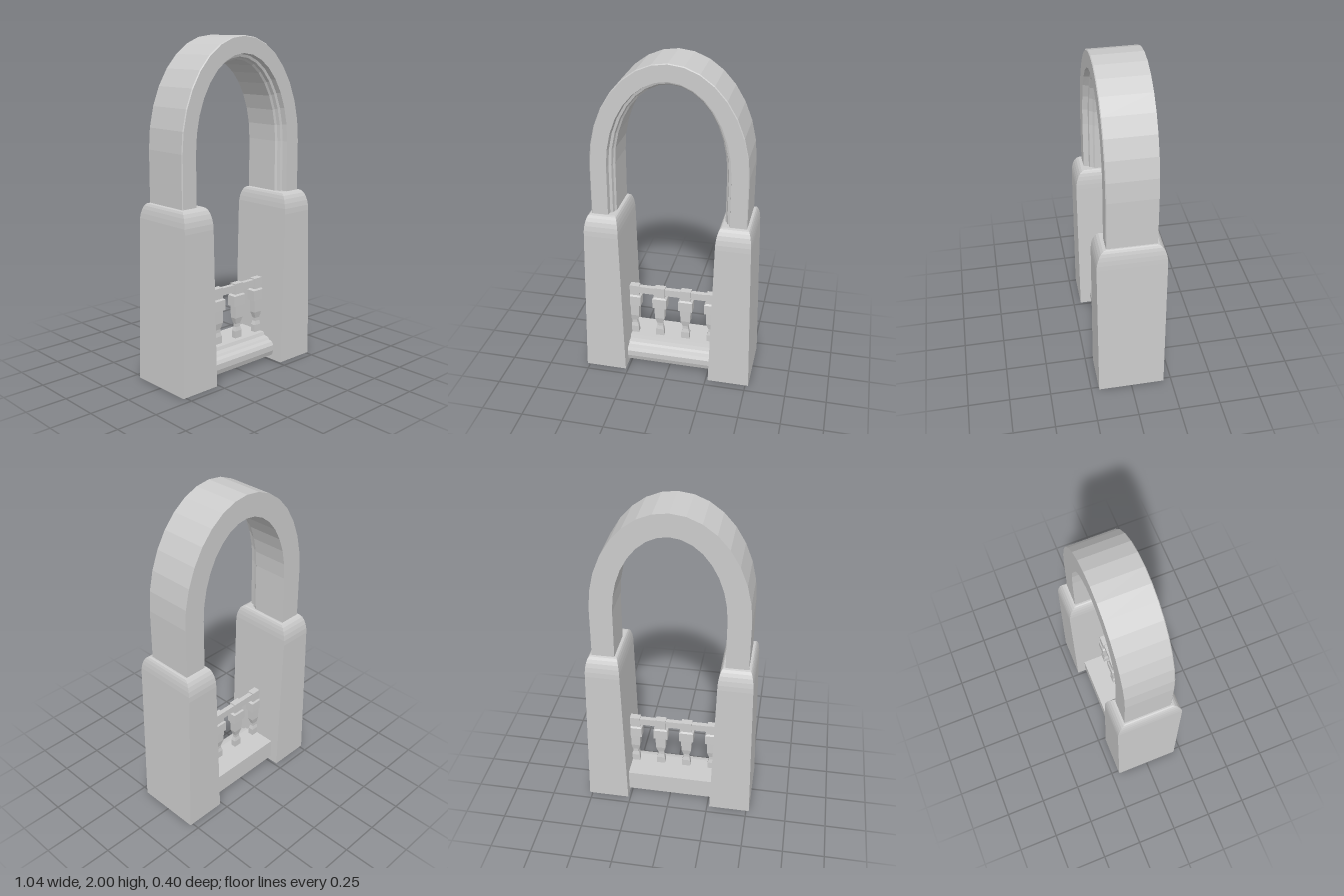
import * as THREE from 'three';

const material = new THREE.MeshStandardMaterial({ color: 0xcccccc, flatShading: true });

// Skin a list of rings; each ring runs counterclockwise about the direction of travel.
function loft(name, rings, capped = true) {
  const pos = [];
  const tri = (a, b, c) => pos.push(...a, ...b, ...c);
  const n = rings[0].length;
  for (let i = 0; i < rings.length - 1; i++) {
    for (let j = 0; j < n; j++) {
      const k = (j + 1) % n;
      const a = rings[i][j], b = rings[i][k], c = rings[i + 1][k], d = rings[i + 1][j];
      tri(a, b, c);
      tri(a, c, d);
    }
  }
  if (capped) {
    const first = rings[0], last = rings[rings.length - 1];
    for (let j = 1; j < n - 1; j++) {
      tri(first[0], first[j + 1], first[j]);
      tri(last[0], last[j], last[j + 1]);
    }
  }
  const geometry = new THREE.BufferGeometry();
  geometry.setAttribute('position', new THREE.Float32BufferAttribute(pos, 3));
  geometry.computeVertexNormals();
  const mesh = new THREE.Mesh(geometry, material);
  mesh.name = name;
  return mesh;
}

// Horizontal rectangle with half sizes hx, hz
const rect = (y, hx, hz) => [[hx, y, hz], [hx, y, -hz], [-hx, y, -hz], [-hx, y, hz]];

// Pillar tapering in width, with a rounded shoulder
function pillar(name, x) {
  const rings = [rect(0, 0.127, 0.202)];
  const steps = 6;
  for (let i = 0; i <= steps; i++) {
    const a = (i / steps) * Math.PI / 2;
    const inset = 1 - Math.cos(a);
    rings.push(rect(0.94 + 0.125 * Math.sin(a), 0.104 - 0.028 * inset, 0.202 - 0.056 * inset));
  }
  const mesh = loft(name, rings);
  mesh.position.x = x;
  return mesh;
}

// Stilted elliptical arch with a stepped moulding on the inner front edge
function arch() {
  // [inset from the outer edge, z]
  const section = [
    [0, 0.137], [0, -0.148], [0.135, -0.148], [0.135, 0.075], [0.125, 0.085],
    [0.12, 0.105], [0.105, 0.11], [0.1, 0.142], [0.005, 0.142],
  ];
  const ring = (angle, y) => section.map(([t, z]) =>
    [(0.46 - t) * Math.cos(angle), y + (0.63 - t) * Math.sin(angle), z]);
  const rings = [ring(0, 1.03)];
  for (let i = 0; i <= 16; i++) rings.push(ring((i / 16) * Math.PI, 1.37));
  rings.push(ring(Math.PI, 1.03));
  return loft('arch', rings, false);
}

// Moulded sill between the pillars
function sill() {
  // [z, y]
  const section = [
    [-0.147, 0.16], [0.05, 0.16], [0.058, 0.14], [0.09, 0.135], [0.1, 0.122],
    [0.125, 0.115], [0.137, 0.095], [0.137, 0.06], [0.128, 0.03], [-0.147, 0.03],
  ];
  return loft('sill', [-0.28, 0.28].map((x) => section.map(([z, y]) => [x, y, z])), false);
}

// Square-cut baluster, narrower in depth than in width
function baluster(x) {
  // [half width, y]
  const profile = [
    [0.026, 0.155], [0.026, 0.205], [0.018, 0.23], [0.018, 0.25], [0.031, 0.29],
    [0.033, 0.37], [0.045, 0.37], [0.045, 0.435], [0.033, 0.445], [0.033, 0.512],
  ];
  const mesh = loft('baluster', profile.map(([r, y]) => rect(y, r, r * 0.65)));
  mesh.position.x = x;
  return mesh;
}

export function createModel() {
  const model = new THREE.Group();
  model.name = 'archedBalcony';
  model.add(pillar('rightPillar', -0.3915), pillar('leftPillar', 0.3915), arch(), sill());

  // Balustrade
  const balustrade = new THREE.Group();
  balustrade.name = 'balustrade';
  for (let i = 0; i < 4; i++) balustrade.add(baluster(-0.25 + i * 0.1655));
  const rail = new THREE.Mesh(new THREE.BoxGeometry(0.57, 0.045, 0.03), material);
  rail.name = 'handrail';
  rail.position.y = 0.482;
  balustrade.add(rail);
  model.add(balustrade);
  return model;
}
